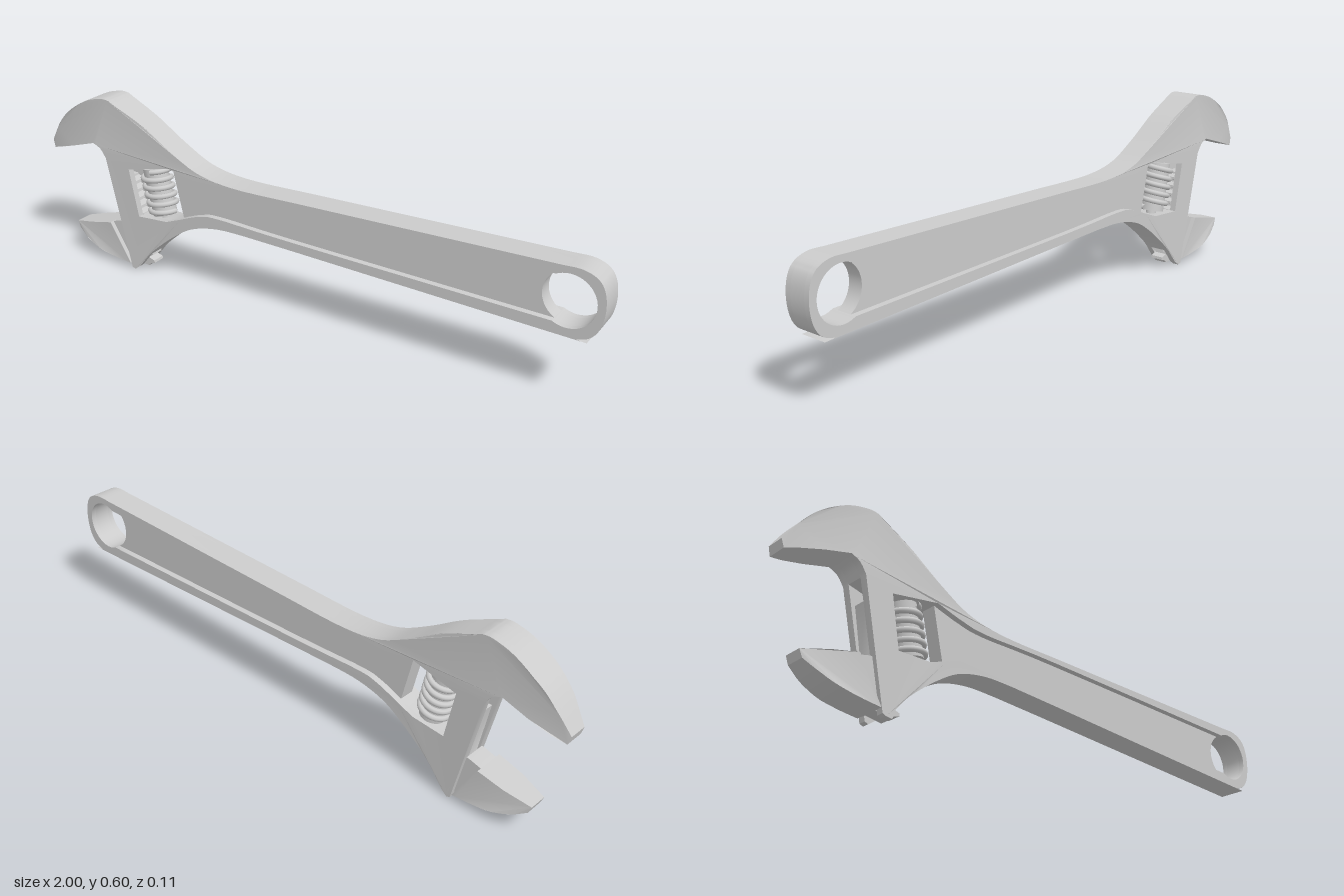
import * as THREE from 'three';
import { toCreasedNormals } from 'three/addons/utils/BufferGeometryUtils.js';

const steel = new THREE.MeshStandardMaterial({ color: 0xcccccc, metalness: 0.3, roughness: 0.55 });
const v = (x, y) => new THREE.Vector2(x, y);
const pts = (list) => list.map(([x, y]) => v(x, y));
const smooth = (list, n = 24) => new THREE.SplineCurve(pts(list)).getPoints(n);

// Half thickness along the tool: thin jaw tip, thick head, slimmer handle
const STATIONS = [[-1, 0.03], [-0.95, 0.044], [-0.88, 0.052], [-0.7, 0.052], [-0.55, 0.045], [1, 0.045]];
function halfThickness(x) {
  if (x <= -1) return 0.03;
  for (let i = 1; i < STATIONS.length; i++) {
    const [x0, t0] = STATIONS[i - 1], [x1, t1] = STATIONS[i];
    if (x <= x1) return t0 + (t1 - t0) * (x - x0) / (x1 - x0);
  }
  return 0.045;
}

// Extruded plate whose back and front faces follow z = lo(x) and z = hi(x)
function plate(name, outline, lo, hi, hole) {
  const shape = new THREE.Shape(outline);
  if (hole) shape.holes.push(new THREE.Path(hole));
  const geo = new THREE.ExtrudeGeometry(shape, { depth: 1, bevelEnabled: false });
  const p = geo.attributes.position;
  for (let i = 0; i < p.count; i++) {
    const x = p.getX(i);
    p.setZ(i, lo(x) + (hi(x) - lo(x)) * p.getZ(i));
  }
  const mesh = new THREE.Mesh(toCreasedNormals(geo, 0.5), steel);
  mesh.name = name;
  return mesh;
}

const slab = (name, outline, h) => plate(name, outline, () => -h, () => h);

function arc(cx, cy, r, a0, a1, n = 28) {
  return Array.from({ length: n + 1 }, (_, i) => {
    const a = a0 + (a1 - a0) * i / n;
    return v(cx + r * Math.cos(a), cy + r * Math.sin(a));
  });
}

// Slanted front edge of the head, along which the lower jaw slides
const edgeX = (y) => -0.743 + (0.39 - y) * 0.224;

export function createModel() {
  const root = new THREE.Group();
  root.name = 'adjustableWrench';

  // Outer contour, counter-clockwise from the slot exit under the head
  const contour = [
    ...smooth([[-0.585, 0.065], [-0.55, 0.1], [-0.47, 0.165], [-0.39, 0.213], [-0.29, 0.237], [-0.18, 0.24]]),
    ...smooth([[0, 0.236], [0.88, 0.213], [0.925, 0.214], [0.965, 0.229], [0.99, 0.265], [1, 0.32],
      [0.993, 0.375], [0.97, 0.41], [0.925, 0.427], [0.87, 0.426]], 40),
    ...smooth([[0, 0.401], [-0.22, 0.396], [-0.36, 0.415], [-0.47, 0.468], [-0.58, 0.535], [-0.69, 0.585]]),
    ...smooth([[-0.715, 0.597], [-0.75, 0.598], [-0.82, 0.577], [-0.9, 0.525], [-0.95, 0.473], [-1, 0.4]], 20),
    ...pts([[-0.992, 0.373], [-0.95, 0.386], [-0.88, 0.408]]),
    ...smooth([[-0.795, 0.434], [-0.765, 0.42], [-0.743, 0.39]], 6),
  ];

  // Inner contour: screw window, handle recess and hanging eye run together
  const recessTop = smooth([[-0.48, 0.407], [-0.39, 0.385], [-0.29, 0.374], [0, 0.384], [0.853, 0.395]]);
  const recessBottom = smooth([[0.853, 0.25], [0, 0.265], [-0.28, 0.274], [-0.36, 0.265], [-0.44, 0.235]]);
  const eye = [0.893, 0.323, 0.083];
  const A = 2.08;
  const inner = [v(-0.647, 0.37), ...recessTop, ...arc(...eye, A - 0.06, -A + 0.06),
    ...recessBottom, v(-0.5, 0.212), v(-0.615, 0.205)];

  // Body: slotted core between two full cheeks
  const SLOT = 0.027;
  const body = new THREE.Group();
  body.name = 'body';
  body.add(slab('slottedCore', [...contour, ...inner], SLOT));
  const cheek = [v(edgeX(0.005), 0.005), v(-0.645, 0), v(-0.625, 0.015), ...contour];
  body.add(plate('frontCheek', cheek, () => SLOT, halfThickness, inner));
  body.add(plate('backCheek', cheek, (x) => -halfThickness(x), () => -SLOT, inner));

  // Sunken web filling the handle between window and eye
  body.add(slab('handleWeb', [...recessTop, ...arc(...eye, A + 0.06, 2 * Math.PI - A - 0.06, 16), ...recessBottom], 0.025));
  root.add(body);

  // Sliding lower jaw: head, stepped neck and toothed rail
  const jaw = new THREE.Group();
  jaw.name = 'slidingJaw';
  const jawHalf = (x) => halfThickness(Math.min(x - 0.09, -0.75));
  const jawHead = [v(-0.743, 0.153), v(-0.83, 0.132), v(-0.915, 0.11),
    ...smooth([[-0.905, 0.086], [-0.86, 0.06], [-0.8, 0.037], [-0.73, 0.025], [-0.663, 0.019]], 14)];
  jaw.add(plate('jawHead', jawHead, (x) => -jawHalf(x), jawHalf));
  jaw.add(slab('jawNeck', [v(-0.745, 0.152), v(-0.667, 0.02), v(edgeX(0.02), 0.02), v(edgeX(0.165), 0.165),
    v(-0.705, 0.163)], 0.036));
  const rail = [v(edgeX(0.33) + 0.01, 0.33), v(edgeX(0.16) + 0.005, 0.16), v(-0.7, 0.1),
    v(-0.665, 0.02), v(-0.605, 0.013)];
  const PITCH = 0.028;
  for (let y = 0.022; y < 0.31; y += PITCH) {
    for (const [k, d] of [[0, 0.062], [0.25, 0.083], [0.55, 0.083], [0.8, 0.062]]) {
      rail.push(v(edgeX(y + k * PITCH) + d, y + k * PITCH));
    }
  }
  rail.push(v(edgeX(0.33) + 0.062, 0.33));
  jaw.add(slab('toothedRail', rail, 0.0225));
  root.add(jaw);

  // Knurl screw: pin, core and helical thread
  const screw = new THREE.Group();
  screw.name = 'adjustingScrew';
  const rod = (name, r, h) => {
    const m = new THREE.Mesh(new THREE.CylinderGeometry(r, r, h, 28), steel);
    m.name = name;
    screw.add(m);
  };
  rod('screwPin', 0.018, 0.2);
  rod('screwCore', 0.041, 0.166);
  class Helix extends THREE.Curve {
    getPoint(t, target = new THREE.Vector3()) {
      const a = t * 5.2 * Math.PI * 2;
      return target.set(0.046 * Math.cos(a), (t - 0.5) * 0.148, 0.046 * Math.sin(a));
    }
  }
  const thread = new THREE.Mesh(new THREE.TubeGeometry(new Helix(), 180, 0.009, 8), steel);
  thread.name = 'screwThread';
  screw.add(thread);
  screw.position.set(-0.557, 0.3, 0);
  screw.rotation.z = 0.22;
  root.add(screw);

  return root;
}
